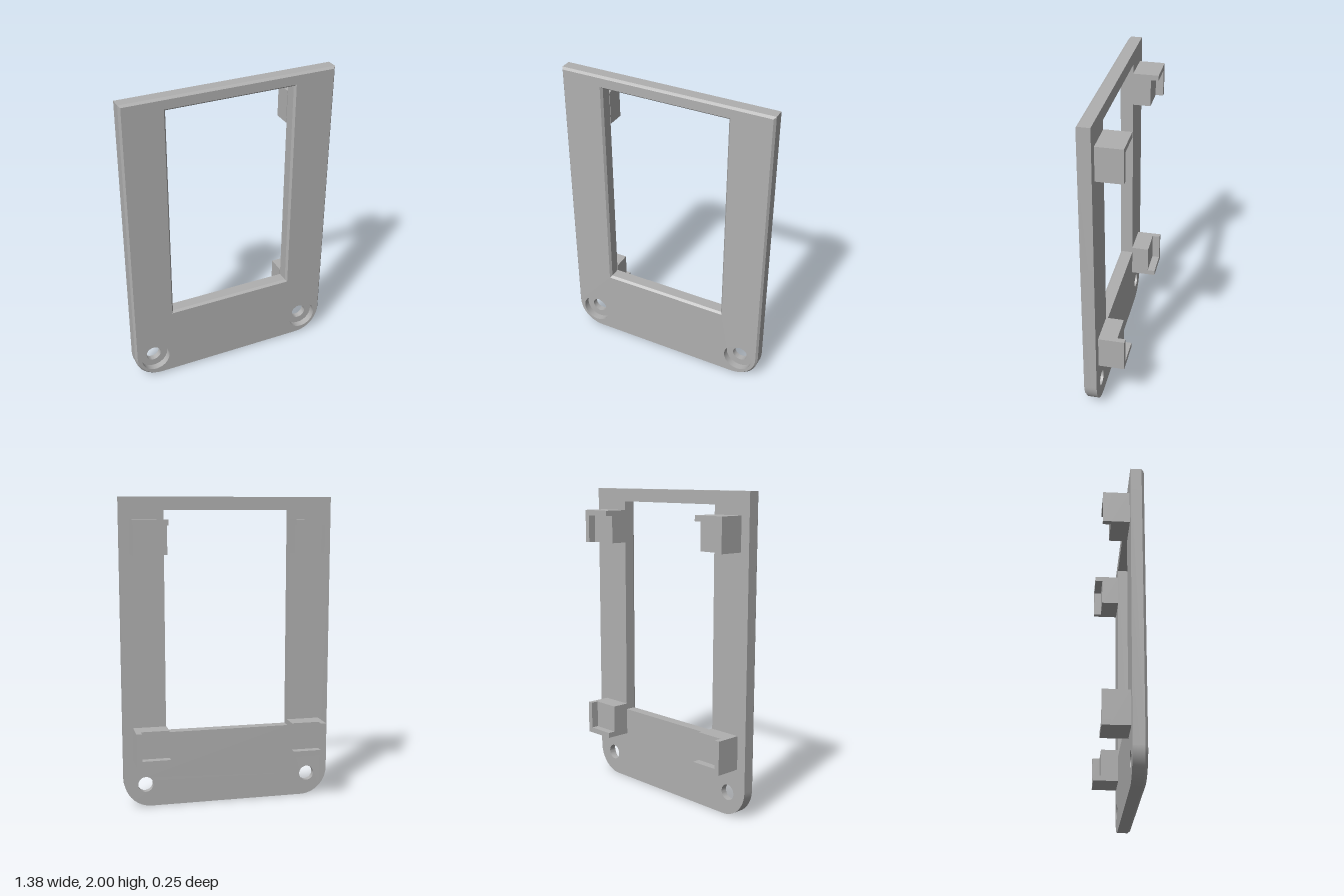
import * as THREE from 'three';
import { mergeGeometries, toCreasedNormals } from 'three/addons/utils/BufferGeometryUtils.js';

const Z_BACK = 0.04, Z_SHOULDER = 0.08, Z_CHAMFER = 0.11, Z_FRONT = 0.125;
const CHAMFER = 0.012;

// Plate outline, anticlockwise: square top corners, rounded bottom corners
function outline(inset) {
  const r = 0.18, w = 0.69, pts = [];
  const arc = (cx, start) => {
    for (let i = 0; i <= 16; i++) {
      const a = start + (i / 16) * Math.PI / 2;
      pts.push(new THREE.Vector2(cx + (r - inset) * Math.cos(a), r + (r - inset) * Math.sin(a)));
    }
  };
  arc(-(w - r), Math.PI);
  arc(w - r, 1.5 * Math.PI);
  pts.push(new THREE.Vector2(w - inset, 2 - inset), new THREE.Vector2(-w + inset, 2 - inset));
  return pts;
}

// Window and screw hole contours, clockwise
function windowContour(grow) {
  const x = 0.412 + grow, lo = 0.49 - grow, hi = 1.918 + grow;
  return [[-x, lo], [-x, hi], [x, hi], [x, lo]].map(([a, b]) => new THREE.Vector2(a, b));
}

function holeContour(side, r) {
  return Array.from({ length: 40 }, (_, i) => {
    const a = -(i / 40) * Math.PI * 2;
    return new THREE.Vector2(side * 0.55 + r * Math.cos(a), 0.147 + r * Math.sin(a));
  });
}

// Wall through a list of [contour, z] layers, back to front
function loft(layers) {
  const pos = [];
  for (let k = 0; k < layers.length - 1; k++) {
    const [a, za] = layers[k], [b, zb] = layers[k + 1];
    for (let i = 0; i < a.length; i++) {
      const j = (i + 1) % a.length;
      const p = [a[i].x, a[i].y, za], q = [a[j].x, a[j].y, za];
      const s = [b[j].x, b[j].y, zb], t = [b[i].x, b[i].y, zb];
      pos.push(...p, ...q, ...s, ...p, ...s, ...t);
    }
  }
  const geo = new THREE.BufferGeometry();
  geo.setAttribute('position', new THREE.Float32BufferAttribute(pos, 3));
  return geo;
}

// Flat face with the window and both holes cut out
function face(inset, holeRadius) {
  const shape = new THREE.Shape(outline(inset));
  shape.holes = [windowContour(inset), holeContour(-1, holeRadius), holeContour(1, holeRadius)]
    .map((pts) => new THREE.Path(pts));
  const geo = new THREE.ShapeGeometry(shape).toNonIndexed();
  geo.deleteAttribute('uv');
  geo.deleteAttribute('normal');
  return geo;
}

function plateGeometry() {
  const small = 0.05, large = 0.097;
  const chamfered = (contour) => loft([
    [contour(0), Z_BACK], [contour(0), Z_CHAMFER], [contour(CHAMFER), Z_FRONT],
  ]);
  // Counterbored screw hole
  const bore = (side) => loft([
    [holeContour(side, small), Z_BACK], [holeContour(side, small), Z_SHOULDER],
    [holeContour(side, large), Z_SHOULDER], [holeContour(side, large), Z_FRONT],
  ]);
  const geo = mergeGeometries([
    chamfered(outline), chamfered(windowContour), bore(-1), bore(1),
    face(CHAMFER, large).translate(0, 0, Z_FRONT),
    face(0, small).rotateY(Math.PI).translate(0, 0, Z_BACK),
  ]);
  return toCreasedNormals(geo, 0.5);
}

export function createModel() {
  const grey = new THREE.MeshStandardMaterial({ color: 0xb0b0b0 });
  grey.name = 'grey plastic';
  const model = new THREE.Group();
  model.name = 'displayBezel';

  const plate = new THREE.Mesh(plateGeometry(), grey);
  plate.name = 'frontPlate';
  model.add(plate);

  // Corner posts: a shelf with a raised lip along its two outer sides
  const W = 0.218, H = 0.214, LIP = 0.035, Z_END = -0.125, Z_SHELF = -0.075;
  const box = (parent, name, w, h, z0, z1, x, y) => {
    const mesh = new THREE.Mesh(new THREE.BoxGeometry(w, h, z1 - z0), grey);
    mesh.name = name;
    mesh.position.set(x, y, (z0 + z1) / 2);
    parent.add(mesh);
  };
  for (const sx of [-1, 1]) {
    for (const [sy, y] of [[-1, 0.423], [1, 1.753]]) {
      const post = new THREE.Group();
      post.name = (sy > 0 ? 'upper' : 'lower') + (sx > 0 ? 'Left' : 'Right') + 'Post';
      post.position.set(sx * 0.518, y, 0);
      box(post, 'shelf', W, H, Z_SHELF, Z_BACK, 0, 0);
      box(post, 'endLip', W, LIP, Z_END, Z_SHELF, 0, sy * (H - LIP) / 2);
      box(post, 'sideLip', LIP, H - LIP, Z_END, Z_SHELF, sx * (W - LIP) / 2, -sy * LIP / 2);
      model.add(post);
    }
  }
  return model;
}
